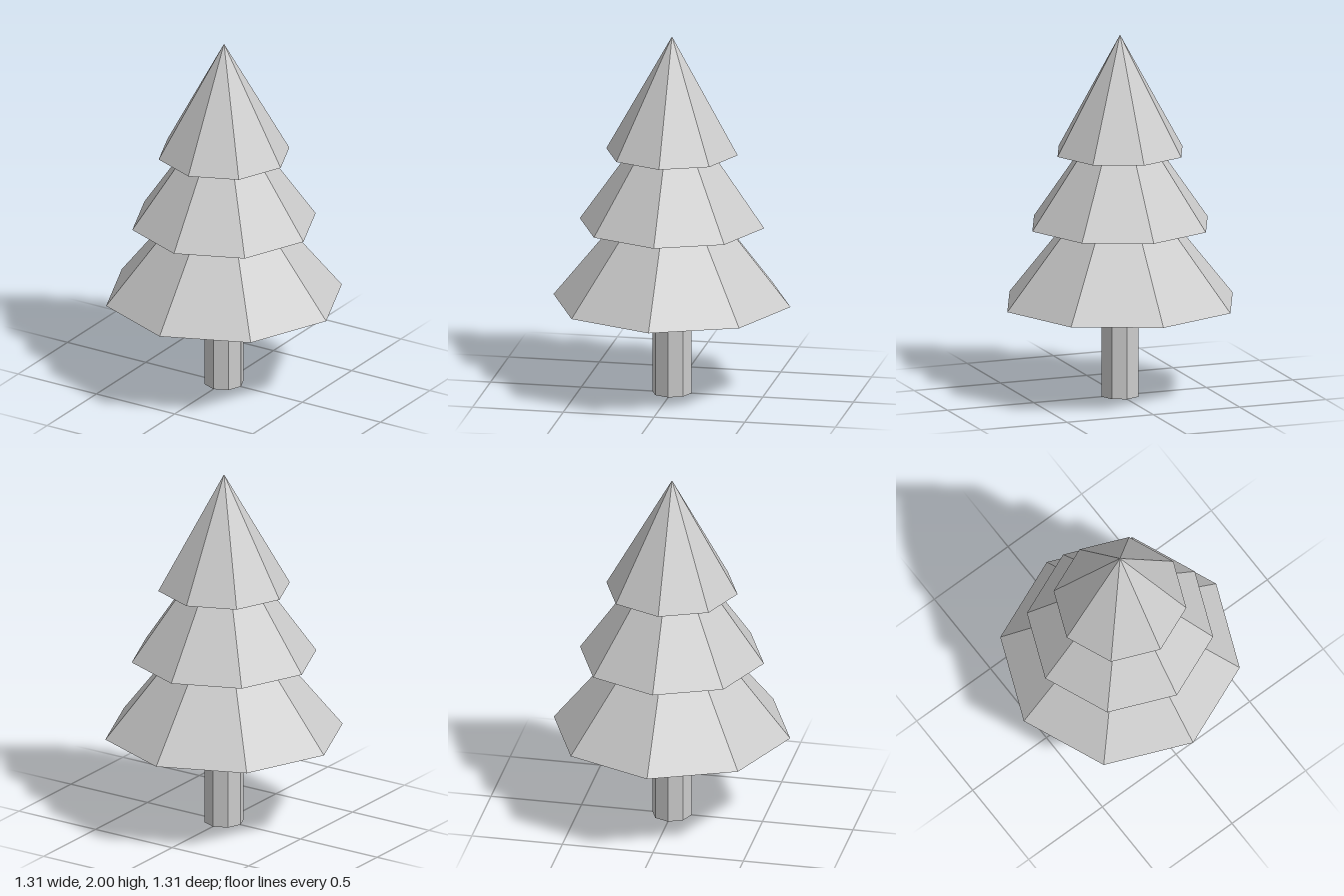
import * as THREE from 'three';

const SIDES = 8;

export function createModel() {
  const tree = new THREE.Group();
  tree.name = 'pineTree';
  const material = new THREE.MeshStandardMaterial({ color: 0xcccccc, flatShading: true });

  const add = (name, geometry, y) => {
    const mesh = new THREE.Mesh(geometry, material);
    mesh.name = name;
    mesh.position.y = y;
    tree.add(mesh);
  };

  // Octagonal trunk, standing on the ground
  const trunkHeight = 0.515;
  add('trunk', new THREE.CylinderGeometry(0.108, 0.108, trunkHeight, SIDES), trunkHeight / 2);

  // Overlapping foliage cones, from the widest up to the tip
  const tiers = [
    { name: 'lowerFoliage', base: 0.515, apex: 1.325, radius: 0.653 },
    { name: 'middleFoliage', base: 0.95, apex: 1.675, radius: 0.508 },
    { name: 'upperFoliage', base: 1.352, apex: 2, radius: 0.362 },
  ];
  for (const { name, base, apex, radius } of tiers) {
    add(name, new THREE.ConeGeometry(radius, apex - base, SIDES), (base + apex) / 2);
  }

  return tree;
}
